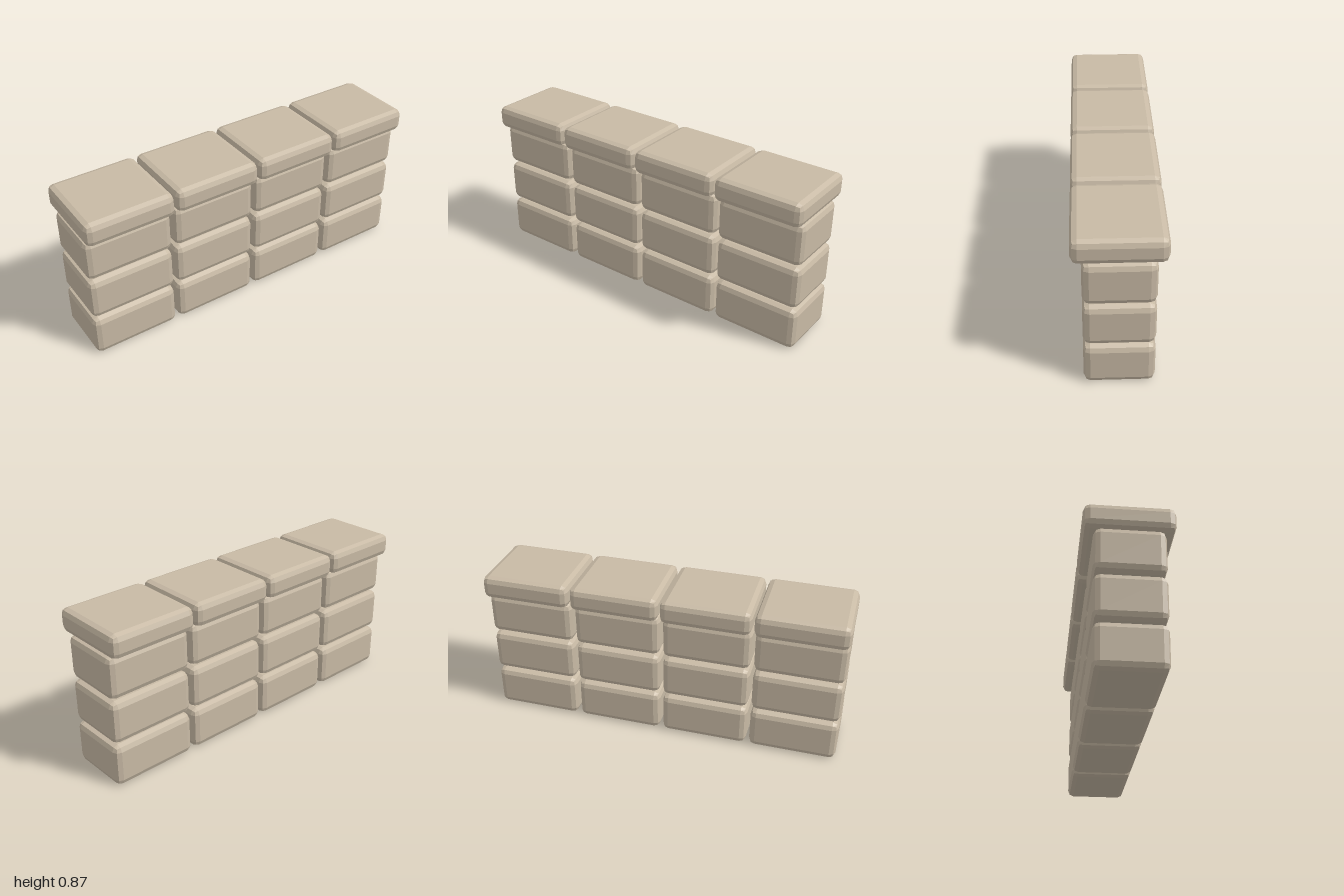
import * as THREE from 'three';
import { RoundedBoxGeometry } from 'three/addons/geometries/RoundedBoxGeometry.js';

// Block with a two-facet bevel along every edge
function bevelledBlock(width, height, depth, bevel) {
  const geometry = new RoundedBoxGeometry(width, height, depth, 1, bevel);
  geometry.computeVertexNormals();
  return geometry;
}

export function createModel() {
  const model = new THREE.Group();
  model.name = 'stoneWall';

  const stone = new THREE.MeshStandardMaterial({ color: 0xc8baa5, flatShading: true });
  stone.name = 'sandstone';

  const blockGeometry = bevelledBlock(0.484, 0.235, 0.353, 0.034);
  const capGeometry = bevelledBlock(0.49, 0.129, 0.453, 0.034);

  const columns = [-0.754, -0.251, 0.251, 0.754];
  const rows = 3;

  // Courses of wall blocks
  for (let row = 0; row < rows; row++) {
    const course = new THREE.Group();
    course.name = `blockCourse${row + 1}`;
    columns.forEach((x, i) => {
      const block = new THREE.Mesh(blockGeometry, stone);
      block.name = `wallBlock${i + 1}`;
      block.position.set(x, 0.1195 + row * 0.251, 0);
      course.add(block);
    });
    model.add(course);
  }

  // Overhanging capstones
  const coping = new THREE.Group();
  coping.name = 'coping';
  columns.forEach((x, i) => {
    const cap = new THREE.Mesh(capGeometry, stone);
    cap.name = `capstone${i + 1}`;
    cap.position.set(x, 0.8075, 0);
    coping.add(cap);
  });
  model.add(coping);

  return model;
}
